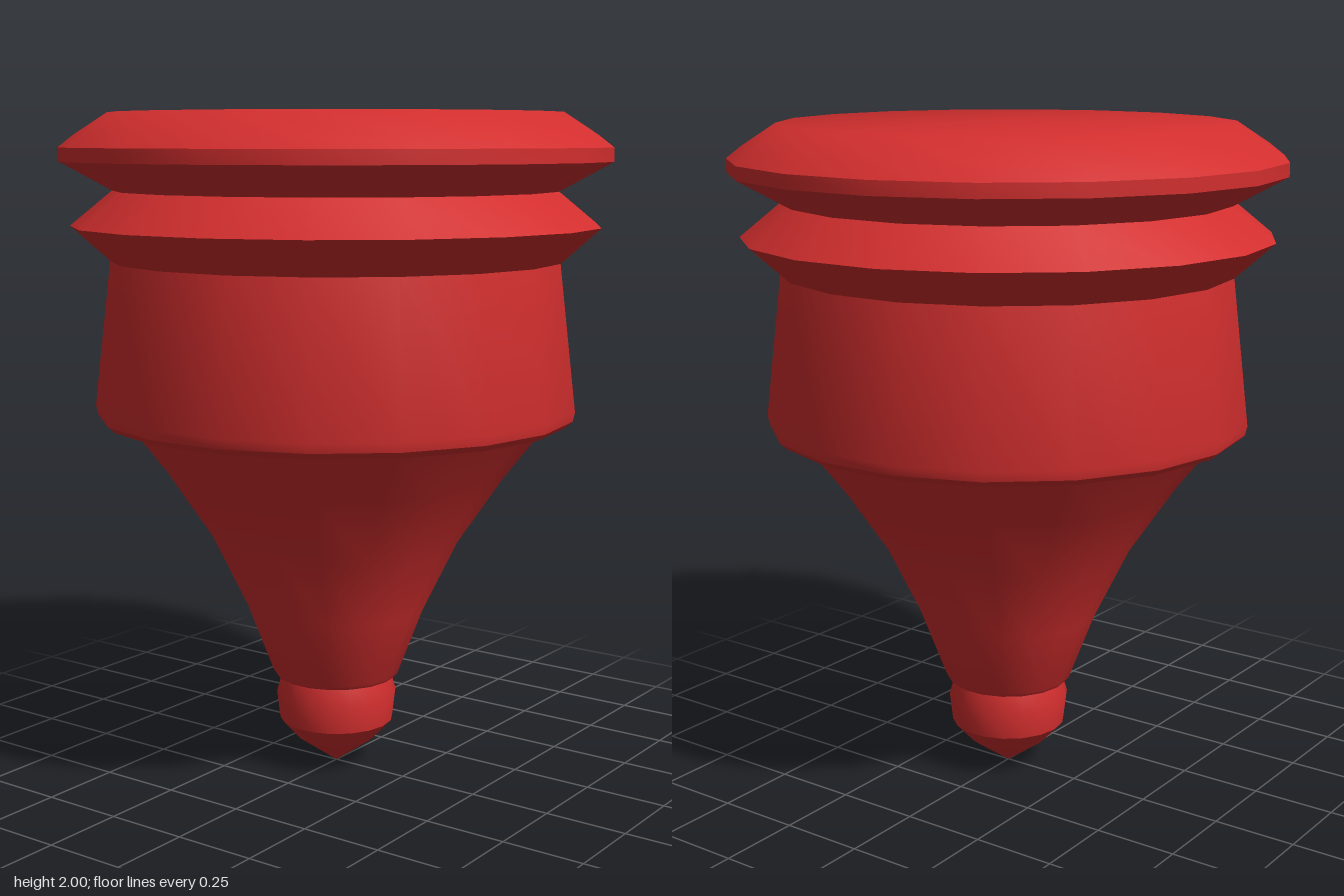
import * as THREE from 'three';
import { toCreasedNormals } from 'three/addons/utils/BufferGeometryUtils.js';

const SIDES = 18;

export function createModel() {
  const model = new THREE.Group();
  model.name = 'taperedPlug';
  const material = new THREE.MeshStandardMaterial({ color: 0xd22e2e });

  // Turned part from [radius, height] pairs, listed bottom to top
  function turned(name, profile) {
    const points = profile.map(([r, y]) => new THREE.Vector2(r, y));
    const lathe = new THREE.LatheGeometry(points, SIDES, Math.PI / 2);
    const mesh = new THREE.Mesh(toCreasedNormals(lathe, 0.6), material);
    mesh.name = name;
    model.add(mesh);
  }

  // Small pointed bead at the foot
  turned('tip', [
    [0, 0.005], [0.12, 0.09], [0.175, 0.15], [0.185, 0.235], [0.168, 0.295],
  ]);

  // Flaring cone with a slightly hollow profile
  turned('taper', [
    [0, 0.292], [0.185, 0.292], [0.195, 0.305], [0.272, 0.51],
    [0.378, 0.73], [0.515, 0.935], [0.635, 1.09],
  ]);

  // Broad drum with a bevelled lower edge
  turned('body', [
    [0.63, 1.085], [0.695, 1.093], [0.716, 1.112], [0.722, 1.14], [0.67, 1.57],
  ]);

  // Sharp-edged ring between drum and cap
  turned('ring', [[0.67, 1.57], [0.785, 1.673], [0.66, 1.775]]);

  // Cap with a short vertical rim and a flat top
  turned('cap', [
    [0.66, 1.775], [0.815, 1.86], [0.815, 1.9], [0.77, 1.935], [0.67, 2], [0, 2],
  ]);

  return model;
}
